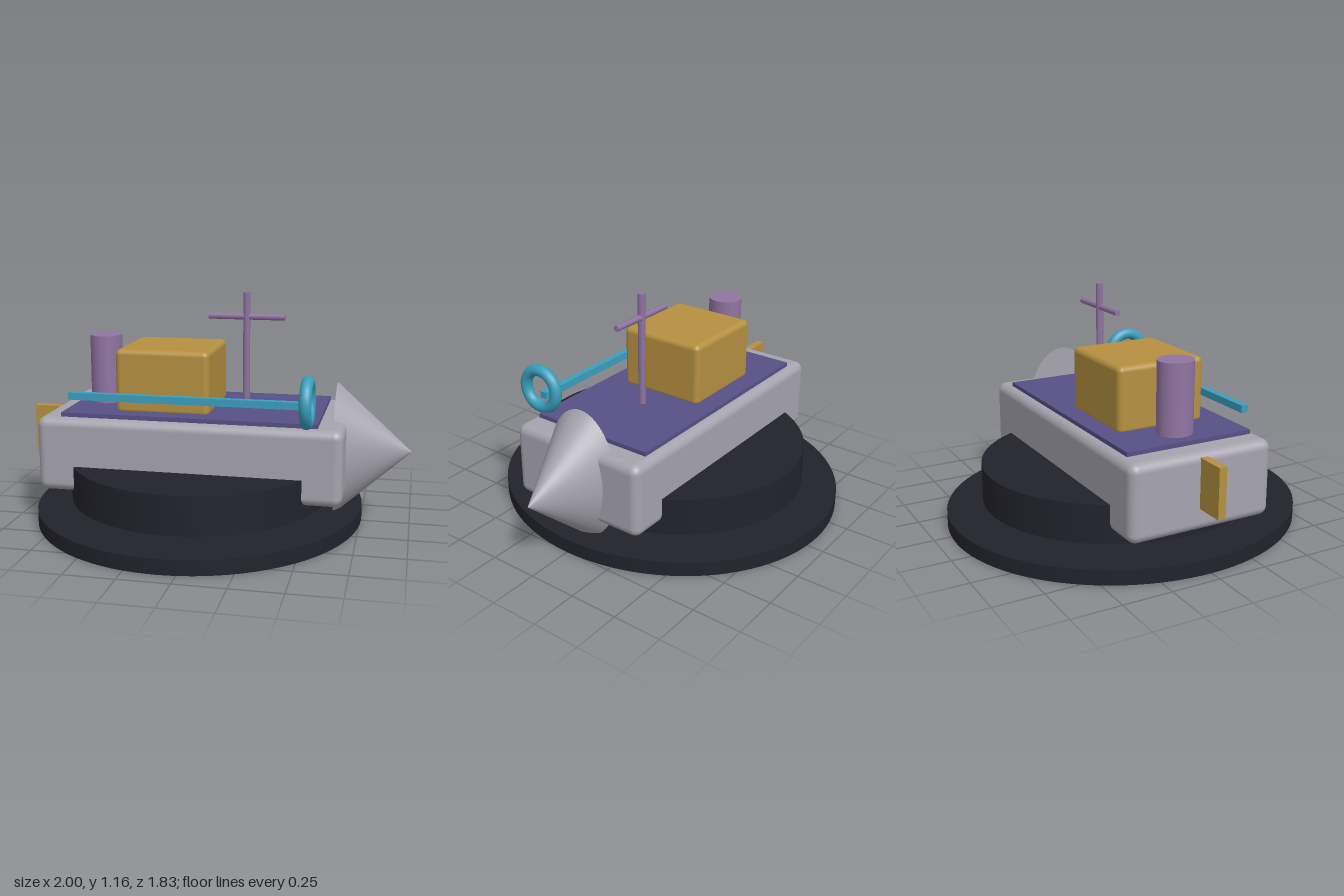
import * as THREE from 'three';
import { RoundedBoxGeometry } from 'three/addons/geometries/RoundedBoxGeometry.js';

const paint = (name, color) => {
  const m = new THREE.MeshStandardMaterial({ color });
  m.name = name;
  return m;
};

export function createModel() {
  const boat = new THREE.Group();
  boat.name = 'boat';

  const dark = paint('dark navy', 0x22222c);
  const grey = paint('hull grey', 0xa5a3ad);
  const indigo = paint('deck indigo', 0x575086);
  const ochre = paint('ochre', 0xb59040);
  const mauve = paint('mauve', 0x9074a2);
  const teal = paint('teal', 0x3a9fbd);

  const add = (name, geometry, material, x, y, z = 0) => {
    const mesh = new THREE.Mesh(geometry, material);
    mesh.name = name;
    mesh.position.set(x, y, z);
    boat.add(mesh);
    return mesh;
  };
  // Upright elliptical cylinder
  const drum = (rx, rz, h, sides = 64) =>
    new THREE.CylinderGeometry(1, 1, h, sides).scale(rx, 1, rz);

  // Stepped oval base
  add('baseDisc', drum(0.846, 0.915, 0.075, 96), dark, -0.09, 0.0375);
  add('upperDisc', drum(0.673, 0.73, 0.195, 96), dark, -0.087, 0.2125);

  // Hull, bow and rudder
  add('hull', new RoundedBoxGeometry(1.535, 0.38, 0.756, 5, 0.045), grey, -0.087, 0.366);
  const bow = new THREE.ConeGeometry(1, 0.382, 64).rotateZ(-Math.PI / 2).scale(1, 0.342, 0.21);
  add('bow', bow, grey, 0.809, 0.379);
  add('rudder', new THREE.BoxGeometry(0.18, 0.245, 0.04), ochre, -0.91, 0.4125);

  // Deck and superstructure
  add('deck', new THREE.BoxGeometry(1.29, 0.04, 0.666), indigo, -0.09, 0.557);
  add('cabin', new RoundedBoxGeometry(0.48, 0.33, 0.466, 4, 0.028), ochre, -0.24, 0.724);
  add('funnel', drum(0.083, 0.09, 0.37, 32), mauve, -0.597, 0.745);

  // Mast with crossbar
  add('mast', drum(0.018, 0.02, 0.6, 8), mauve, 0.15, 0.865);
  const bar = new THREE.CylinderGeometry(0.016, 0.016, 0.39, 8).rotateZ(Math.PI / 2);
  add('crossbar', bar, mauve, 0.15, 1.042);

  // Side rail ending in a ring
  add('rail', new THREE.BoxGeometry(1.21, 0.036, 0.036), teal, -0.083, 0.666, 0.332);
  const ring = new THREE.TorusGeometry(0.0985, 0.03, 16, 48).rotateY(Math.PI / 2);
  add('ring', ring, teal, 0.507, 0.688, 0.359);

  return boat;
}
